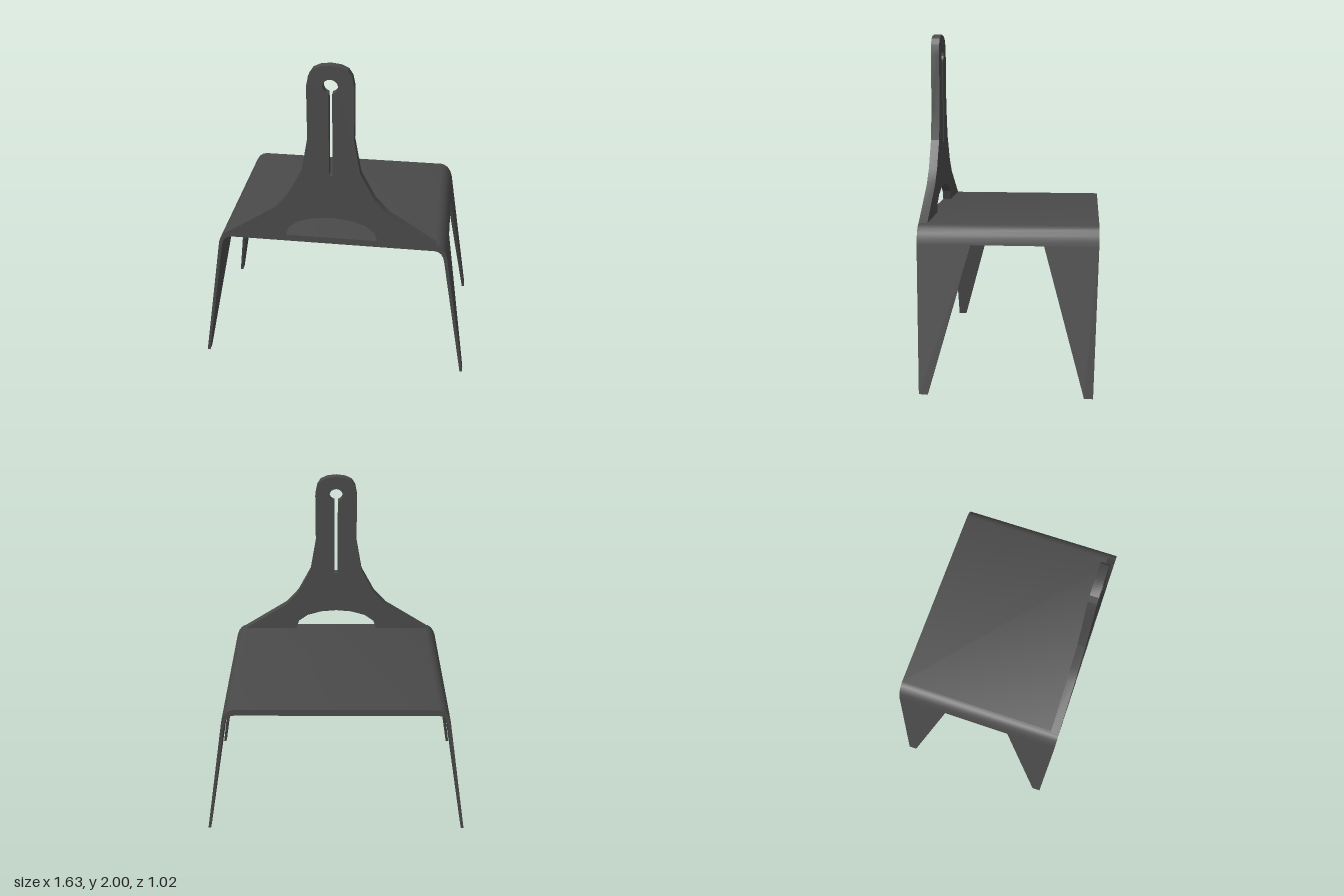
import * as THREE from 'three';
import { toCreasedNormals } from 'three/addons/utils/BufferGeometryUtils.js';

const material = new THREE.MeshStandardMaterial({ color: 0x4a4a4a });
const mirror = (pts) => pts.map(([x, y]) => [-x, y]).reverse();
const vectors = (pts) => pts.map(([x, y]) => new THREE.Vector2(x, y));

function addMesh(parent, name, geometry, crease = 0.6) {
  const mesh = new THREE.Mesh(toCreasedNormals(geometry, crease), material);
  mesh.name = name;
  parent.add(mesh);
  return mesh;
}

function extrude(shape, z0, z1) {
  return new THREE.ExtrudeGeometry(shape, { depth: z1 - z0, bevelEnabled: false })
    .translate(0, 0, z0);
}

// Bent sheet: flat top rolling over into both sides
function seatGeometry() {
  const outer = [[0.68, 0.825], [0.675, 0.855], [0.664, 0.885], [0.646, 0.912], [0.624, 0.928], [0.6, 0.935]];
  const inner = [[0.6, 0.895], [0.622, 0.89], [0.64, 0.876], [0.652, 0.855], [0.66, 0.825]];
  const shape = new THREE.Shape(vectors([...outer, ...mirror(outer), ...mirror(inner), ...inner]));
  return extrude(shape, -0.51, 0.51);
}

// Tapered leg: a thin box whose corners are moved to the splayed outline
function legGeometry(sx, sz) {
  const geo = new THREE.BoxGeometry(1, 1, 1);
  const p = geo.attributes.position;
  for (let i = 0; i < p.count; i++) {
    const top = p.getY(i) > 0;
    const far = p.getX(i) * sx > 0; // outer face
    const end = p.getZ(i) * sz > 0; // edge at the seat's end
    const x = top ? (far ? 0.68 : 0.66) : (far ? 0.817 : 0.8);
    const z = top ? (end ? 0.51 : 0.205) : (end ? 0.485 : 0.435);
    p.setXYZ(i, sx * x, top ? 0.825 : 0, sz * z);
  }
  return geo;
}

// Upright back: flared foot, arched opening, keyhole slot
function backGeometry() {
  const side = [[0.61, 0.933], [0.33, 1.115], [0.25, 1.205], [0.166, 1.365], [0.13, 1.57],
    [0.13, 1.88], [0.118, 1.94], [0.095, 1.975], [0.055, 1.993]];
  const arch = [[0.1, 1.062], [0.19, 1.035], [0.25, 0.99], [0.27, 0.933]];
  const shape = new THREE.Shape(vectors([
    ...side, [0, 2], ...mirror(side), ...mirror(arch), [0, 1.071], ...arch]));

  const half = 0.01, r = 0.042, a = Math.asin(half / r);
  const keyhole = [[-half, 1.345], [half, 1.345]];
  for (let i = 0; i <= 16; i++) {
    const t = -Math.PI / 2 + a + (i / 16) * (2 * Math.PI - 2 * a);
    keyhole.push([r * Math.cos(t), 1.88 + r * Math.sin(t)]);
  }
  shape.holes.push(new THREE.Path(vectors(keyhole)));
  return extrude(shape, 0.46, 0.51);
}

export function createModel() {
  const model = new THREE.Group();
  model.name = 'chair';
  addMesh(model, 'seat', seatGeometry());
  addMesh(model, 'backrest', backGeometry(), 0.3);
  for (const sx of [-1, 1]) {
    for (const sz of [-1, 1]) {
      const name = (sz > 0 ? 'front' : 'back') + (sx > 0 ? 'Left' : 'Right') + 'Leg';
      addMesh(model, name, legGeometry(sx, sz));
    }
  }
  return model;
}
